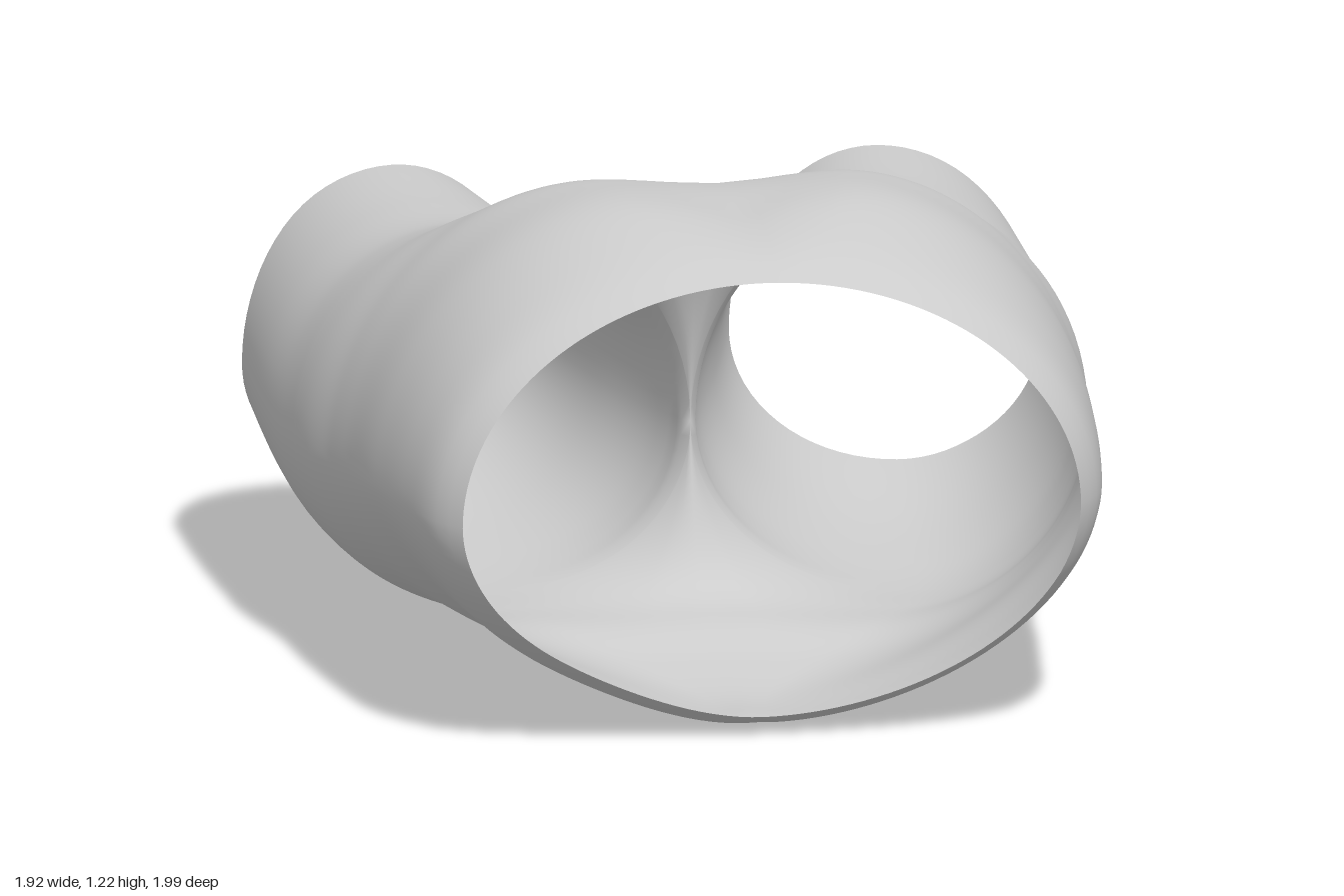
import * as THREE from 'three';
import { mergeGeometries, mergeVertices } from 'three/addons/utils/BufferGeometryUtils.js';

// Stations from leg hem to waist: [z, outer x, inner x, crown x, belly x,
// top y, bottom y, widest y, crown sharpness, belly sharpness]
const STATIONS = [
  [-0.93, 0.955, 0.235, 0.58, 0.63, 0.97, 0.205, 0.53, 1, 1],
  [-0.60, 0.96, 0.14, 0.55, 0.59, 0.965, 0.135, 0.51, 1, 1],
  [-0.35, 0.955, 0.055, 0.52, 0.57, 0.975, 0.10, 0.50, 1, 1],
  [-0.25, 0.95, 0.028, 0.50, 0.56, 1.00, 0.09, 0.51, 1, 1],
  [-0.15, 0.945, 0, 0.47, 0.54, 1.035, 0.085, 0.52, 1, 1],
  [0.00, 0.93, -0.22, 0.41, 0.50, 1.11, 0.085, 0.53, 1.03, 1],
  [0.15, 0.91, -0.43, 0.34, 0.41, 1.19, 0.08, 0.54, 1.07, 1.02],
  [0.30, 0.89, -0.56, 0.29, 0.27, 1.215, 0.04, 0.55, 1.08, 1.09],
  [0.50, 0.865, -0.64, 0.24, 0.09, 1.22, 0.005, 0.56, 1.08, 1.18],
  [0.70, 0.835, -0.70, 0.15, 0.07, 1.19, 0.005, 0.57, 1.05, 1.16],
  [0.86, 0.795, -0.73, 0.06, 0.04, 1.15, 0.015, 0.57, 1.02, 1.10],
  [0.95, 0.74, -0.74, 0, 0, 1.115, 0.05, 0.57, 1, 1.05],
];
const CROTCH_Z = -0.15;
const COLUMNS = 72;
const { clamp, smoothstep } = THREE.MathUtils;

const section = new THREE.CubicInterpolant(
  STATIONS.map((s) => s[0]), STATIONS.flatMap((s) => s.slice(1)), 9, new Float32Array(9));

const bend = (v, power) => Math.sign(v) * Math.abs(v) ** power;

// Rows are denser just past the crotch, where the two tubes open into one
function rowPositions() {
  const rows = [];
  for (let i = 0; i <= 28; i++) rows.push(-0.93 + (CROTCH_Z + 0.93) * (i / 28));
  for (let i = 1; i <= 52; i++) rows.push(CROTCH_Z + (0.95 - CROTCH_Z) * (i / 52) ** 1.9);
  return rows;
}

// Width over which the centre seam is rounded off
const seamBlend = (z) => 0.15 * smoothstep(z, CROTCH_Z, 0.1) * (1 - smoothstep(z, 0.2, 0.6));

// Angle at which a section reaches the centre seam, or a full half turn on the leg
function seamAngle(z, centre, inner, power, blend) {
  if (z <= CROTCH_Z + 1e-6) return Math.PI;
  return Math.acos(bend(clamp((blend - centre) / (centre - Math.min(inner, 0)), -1, 1), 1 / power));
}

// Slanted leg hem and dipped waist opening
function edgeShift(x, y, z) {
  const hem = clamp((-0.2 - z) / 0.73, 0, 1);
  const waist = smoothstep(z, 0.5, 0.95);
  const low = clamp((0.4 - y) / 0.4, 0, 1);
  const slant = 0.12 * (x - 0.6) + 1.4 * Math.max(0, x - 0.75) ** 2 - 0.02;
  return hem * slant + waist * (-0.035 + 0.085 * (x / 0.74) ** 2 - 0.045 * low);
}

// One leg and its half of the body
function halfGeometry(side) {
  const positions = [], index = [];
  const rows = rowPositions();
  rows.forEach((z, i) => {
    const [outer, inner, crown, belly, top, bottom, mid, topSharp, lowSharp] = section.evaluate(z);
    const blend = seamBlend(z);
    const high = seamAngle(z, crown, inner, topSharp, blend);
    const low = seamAngle(z, belly, inner, lowSharp, blend);
    for (let j = 0; j <= COLUMNS; j++) {
      const u = (j / COLUMNS) * 2 - 1;
      const [reach, cx, ry, power] = u > 0
        ? [high, crown, top - mid, topSharp] : [low, belly, mid - bottom, lowSharp];
      const c = bend(Math.cos(u * reach), power), s = bend(Math.sin(u * reach), power);
      const flat = cx + c * (c > 0 ? outer - cx : cx - inner);
      let x = Math.sqrt(Math.max(0, flat * Math.abs(flat) - blend * blend));
      if (z > CROTCH_Z && Math.abs(u) === 1) x = 0;
      // The underside sits a little higher on the right
      const lift = side < 0 ? 0.035 * Math.max(0, -s) * smoothstep(x, 0, 0.5) : 0;
      const y = mid + s * ry + lift;
      positions.push(side * x, y, z + edgeShift(x, y, z));
      if (i < rows.length - 1 && j < COLUMNS) {
        const a = i * (COLUMNS + 1) + j, b = a + 1, d = a + COLUMNS + 1, e = d + 1;
        if (side > 0) index.push(a, b, d, b, e, d);
        else index.push(a, d, b, b, d, e);
      }
    }
  });
  const geometry = new THREE.BufferGeometry();
  geometry.setAttribute('position', new THREE.Float32BufferAttribute(positions, 3));
  geometry.setIndex(index);
  return geometry;
}

export function createModel() {
  const group = new THREE.Group();
  group.name = 'shorts';

  // Both halves welded along the centre seam into one smooth cloth surface
  const geometry = mergeVertices(mergeGeometries([halfGeometry(1), halfGeometry(-1)]), 1e-4);
  geometry.computeVertexNormals();
  const cloth = new THREE.Mesh(geometry,
    new THREE.MeshStandardMaterial({ color: 0xcccccc, side: THREE.DoubleSide }));
  cloth.name = 'cloth';
  group.add(cloth);
  return group;
}
